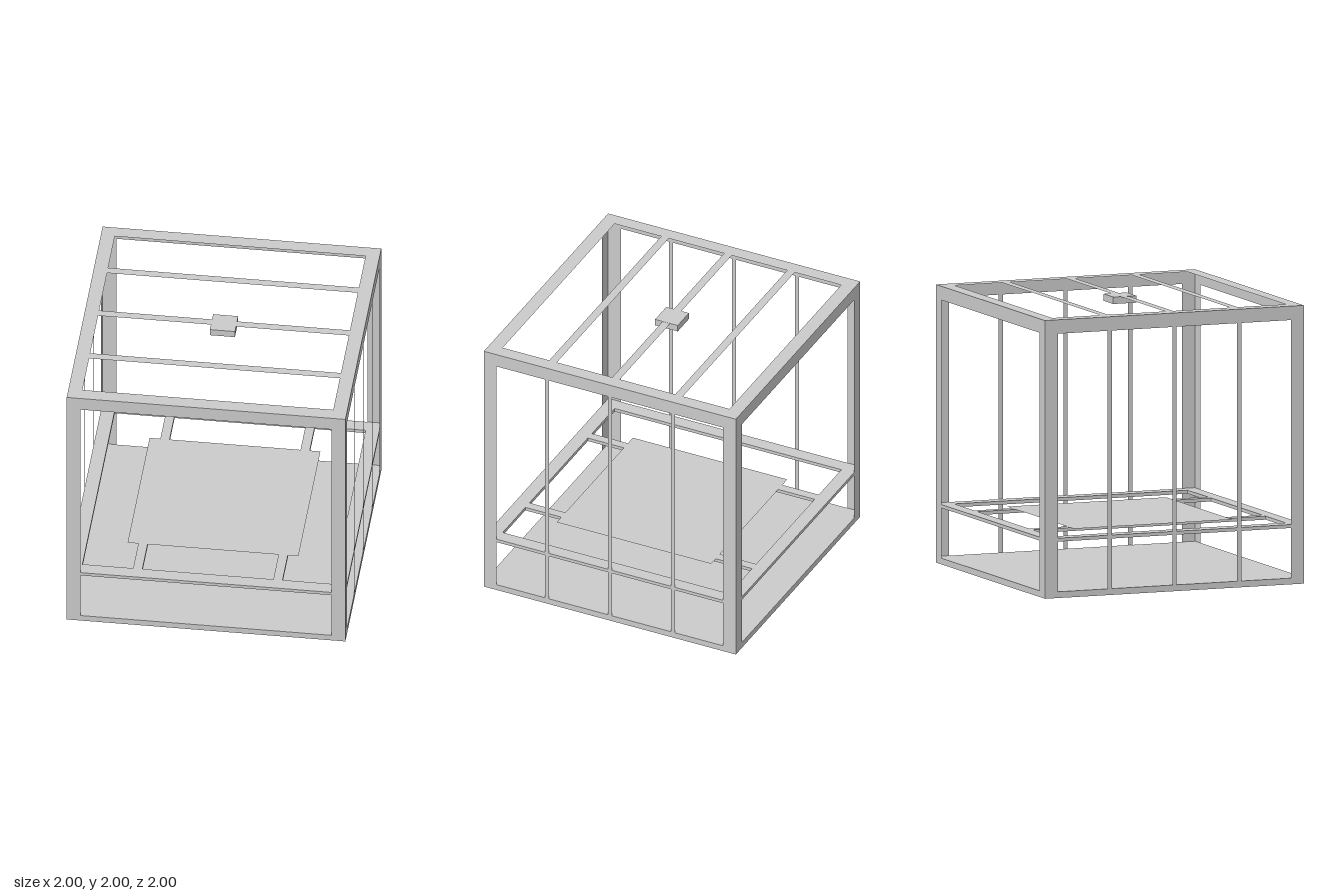
import * as THREE from 'three';

const solid = new THREE.MeshStandardMaterial({ color: 0xcccccc, flatShading: true });
const sheet = new THREE.MeshStandardMaterial({ color: 0xcccccc, flatShading: true, side: THREE.DoubleSide });

const corners = (Type, [x0, y0], [x1, y1]) =>
  new Type([[x0, y0], [x1, y0], [x1, y1], [x0, y1]].map(p => new THREE.Vector2(...p)));

// Square outline of half size r with rectangular openings
function squareWithHoles(r, holes) {
  const shape = corners(THREE.Shape, [-r, -r], [r, r]);
  shape.holes = holes.map(([a, b]) => corners(THREE.Path, a, b));
  return shape;
}

// Openings left between the edges and a row of bars of half width h
function panes(bars, h, low, high) {
  const starts = [-0.9, ...bars.map(b => b + h)];
  const ends = [...bars.map(b => b - h), 0.9];
  return starts.map((s, i) => [[s, low], [ends[i], high]]);
}

export function createModel() {
  const model = new THREE.Group();
  model.name = 'openFrameMachine';

  const add = (name, geometry, material, x = 0, y = 0, z = 0) => {
    const mesh = new THREE.Mesh(geometry, material);
    mesh.position.set(x, y, z);
    mesh.name = name;
    model.add(mesh);
    return mesh;
  };

  const bars = [-0.5, 0, 0.5];
  const open = new THREE.ShapeGeometry(squareWithHoles(1, panes([], 0, -0.955, 0.9)));
  const barred = new THREE.ShapeGeometry(squareWithHoles(1, panes(bars, 0.016, -0.955, 0.9)));
  const roof = new THREE.ShapeGeometry(squareWithHoles(1, panes(bars, 0.03, -0.9, 0.9)));

  // Thin outer walls: open front and back, barred sides
  for (const side of [-1, 1]) {
    add(side > 0 ? 'frontFrame' : 'backFrame', open, sheet, 0, 1, side);
    add(side > 0 ? 'leftFrame' : 'rightFrame', barred, sheet, side, 1, 0).rotation.y = Math.PI / 2;
  }

  // Roof with its rails running across
  add('topFrame', roof, sheet, 0, 2, 0).rotation.set(-Math.PI / 2, 0, Math.PI / 2);

  // Raised floor sheet
  add('floor', new THREE.PlaneGeometry(2, 2), sheet, 0, 0.045, 0).rotation.x = -Math.PI / 2;

  // Bed frame with two cross supports, and the thin bed on top
  const ring = new THREE.ExtrudeGeometry(squareWithHoles(0.998, panes([], 0, -0.9, 0.9)),
    { depth: 0.025, bevelEnabled: false });
  add('bedFrame', ring, solid, 0, 0.405, 0).rotation.x = -Math.PI / 2;
  for (const x of [-0.503, 0.503])
    add('bedSupport', new THREE.BoxGeometry(0.066, 0.025, 1.8), solid, x, 0.4175, 0);
  add('bed', new THREE.PlaneGeometry(1.226, 1.226), sheet, 0, 0.432, 0).rotation.x = -Math.PI / 2;

  // Tool carriage on the middle rail
  add('carriage', new THREE.BoxGeometry(0.18, 0.05, 0.18), solid, 0, 1.976, 0);

  return model;
}
